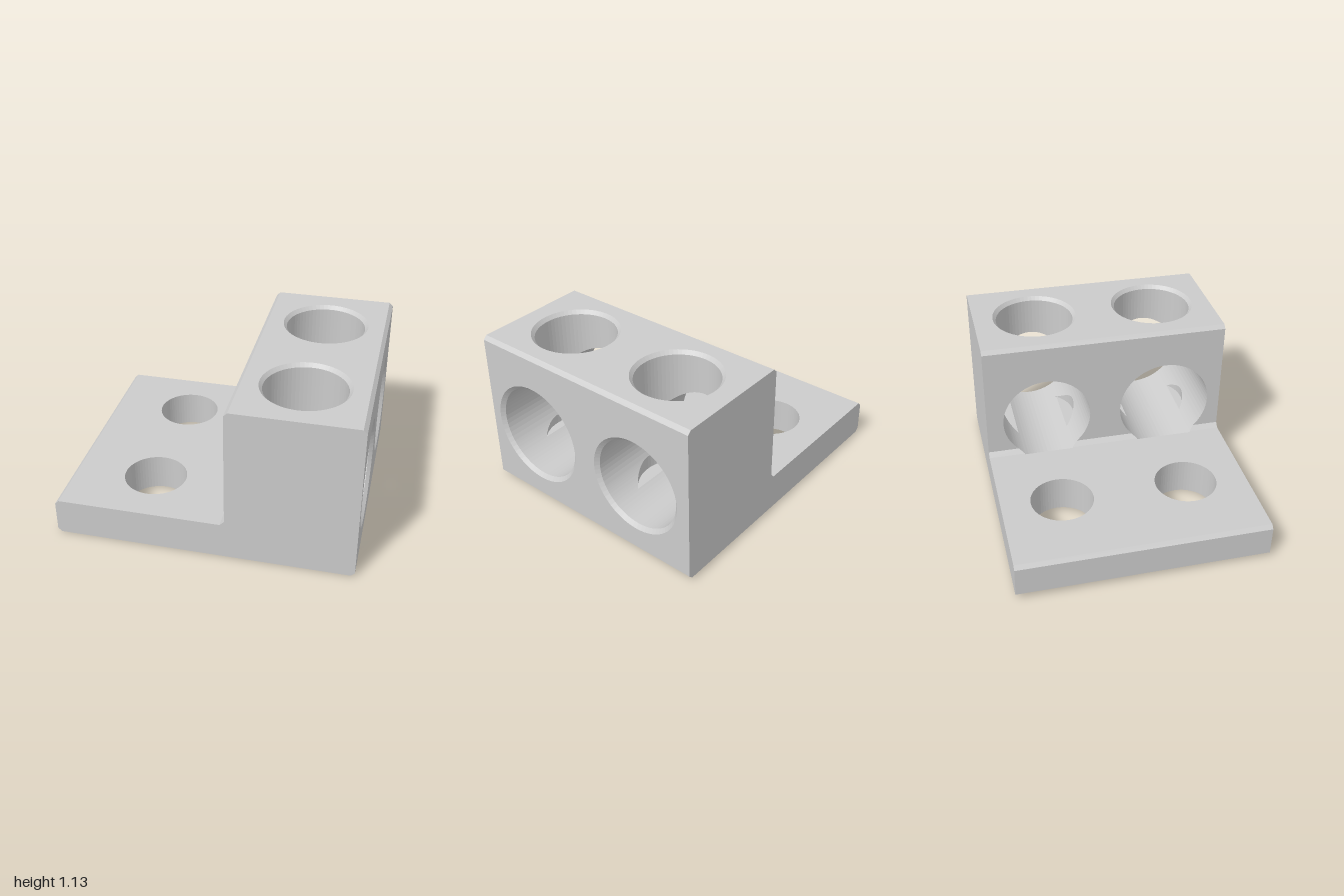
import * as THREE from 'three';

const HALF = 0.85, HIGH = 1.107, PLATE = 0.255, FILLET = 0.285, FLOOR = 0.26; // main levels
const WALL = 0.15, STOP = 0.11, BEVEL = 0.025, N = 64;
const VX = 0.575, VR = 0.27, HY = 0.512; // vertical bore x and radius, cross bore height
const BORES = [{ z: -0.423, r: 0.31 }, { z: 0.433, r: 0.327 }];
const BOLTS = [-0.436, 0.429], BOLT_X = -0.43, BOLT_R = 0.213;

const V = (x, y, z) => new THREE.Vector3(x, y, z);
const material = new THREE.MeshStandardMaterial({ color: 0xcccccc });

// Flat-shaded mesh from triangles, each turned to face the direction given by out(centroid)
function surface(name, tris, out) {
  const pos = [];
  for (const [a, b, c] of tris) {
    const n = b.clone().sub(a).cross(c.clone().sub(a));
    if (n.length() < 1e-9) continue;
    const mid = a.clone().add(b).add(c).divideScalar(3);
    const order = n.dot(out(mid)) < 0 ? [a, c, b] : [a, b, c];
    order.forEach(p => pos.push(p.x, p.y, p.z));
  }
  const g = new THREE.BufferGeometry();
  g.setAttribute('position', new THREE.Float32BufferAttribute(pos, 3));
  g.computeVertexNormals();
  const mesh = new THREE.Mesh(g, material);
  mesh.name = name;
  return mesh;
}

// Planar panel: 2D outline with holes, placed by map(a, b)
function panel(name, outline, holes, map, normal) {
  const to2 = l => l.map(p => new THREE.Vector2(p[0], p[1]));
  const faces = THREE.ShapeUtils.triangulateShape(to2(outline), holes.map(to2));
  const pts = [outline, ...holes].flat().map(p => map(p[0], p[1]));
  return surface(name, faces.map(f => f.map(i => pts[i])), () => normal);
}

const quad = (a, b, c, d) => [[a, b, c], [a, c, d]];

function arc(ca, cb, r, a0, a1, n) {
  return Array.from({ length: n + 1 }, (_, i) => {
    const t = a0 + (a1 - a0) * i / n;
    return [ca + r * Math.cos(t), cb + r * Math.sin(t)];
  });
}
const circle = (ca, cb, r) => arc(ca, cb, r, 0, 2 * Math.PI, N).slice(0, N);
const rect = (b0, b1) => [[-HALF, b0], [HALF, b0], [HALF, b1], [-HALF, b1]];

// Half width of a cross bore at height y, and the angle where it reaches y
const halfAt = (r, y) => Math.sqrt(Math.max(0, r * r - (y - HY) ** 2));
const angleAt = (r, y) => Math.asin((y - HY) / r);

// Tube or cone between two rings; ring(i) gives the end points of line i
function ringWall(name, ends, out) {
  const tris = [];
  for (let i = 0; i < N; i++) {
    const [a, b] = ends(2 * Math.PI * i / N), [d, c] = ends(2 * Math.PI * (i + 1) / N);
    tris.push(...quad(a, b, c, d));
  }
  return surface(name, tris, out);
}

// Cross bore wall, opened where the vertical bore passes through it
function crossBore({ z, r }) {
  const angles = [];
  for (let i = 0; i < N; i++) {
    angles.push(2 * Math.PI * i / N);
    const t = Math.acos(VR * Math.sin(2 * Math.PI * i / N) / r);
    angles.push(t, 2 * Math.PI - t);
  }
  for (const y of [PLATE, FLOOR, FILLET]) {
    const t = angleAt(r, y);
    angles.push(Math.PI - t, 2 * Math.PI + t);
  }
  angles.push(2 * Math.PI);
  angles.sort((a, b) => a - b);
  const tris = [];
  for (let i = 0; i + 1 < angles.length; i++) {
    const [s, e] = [angles[i], angles[i + 1]];
    if (e - s < 1e-6) continue;
    const my = HY + r * Math.sin((s + e) / 2), mz = r * Math.cos((s + e) / 2);
    const open = my > FLOOR && Math.abs(mz) < VR;
    const [p, q] = [s, e].map(t => {
      const y = HY + r * Math.sin(t), dz = r * Math.cos(t);
      const left = my < PLATE ? STOP : my < FILLET ? WALL + y - FILLET : WALL;
      const w = open ? Math.sqrt(Math.max(0, VR * VR - dz * dz)) : 0;
      return [left, VX - w, VX + w, 1 - BEVEL].map(x => V(x, y, z + dz));
    });
    tris.push(...quad(p[0], p[1], q[1], q[0]), ...quad(p[2], p[3], q[3], q[2]));
  }
  return surface('crossBore', tris, m => V(0, HY - m.y, z - m.z));
}

// Vertical bore wall above and below the cross bore
function verticalBore({ z, r }) {
  const g = new THREE.Group();
  g.name = 'verticalBore';
  const inward = m => V(VX - m.x, 0, z - m.z);
  for (const upper of [true, false]) {
    g.add(ringWall(upper ? 'upperWall' : 'lowerWall', t => {
      const x = VX + VR * Math.cos(t), dz = VR * Math.sin(t), s = Math.sqrt(r * r - dz * dz);
      return upper ? [V(x, HY + s, z + dz), V(x, HIGH - BEVEL, z + dz)]
        : [V(x, FLOOR, z + dz), V(x, Math.max(FLOOR, HY - s), z + dz)];
    }, inward));
  }
  // two floor segments beside the cross bore
  const t0 = Math.asin(halfAt(r, FLOOR) / VR);
  for (const side of [0, Math.PI]) {
    g.add(panel('boreFloor', arc(VX, z, VR, side + t0, side + Math.PI - t0, 20), [],
      (x, zz) => V(x, FLOOR, zz), V(0, 1, 0)));
  }
  // countersink at the top
  g.add(ringWall('topCountersink', t => [[VR, HIGH - BEVEL], [VR + 0.022, HIGH]].map(
    ([rad, y]) => V(VX + rad * Math.cos(t), y, z + rad * Math.sin(t))), inward));
  return g;
}

export function createModel() {
  const body = new THREE.Group();
  body.name = 'bracketBody';
  const B = BEVEL;
  const profile = [[-1 + B, 0], [1 - B, 0], [1, B], [1, HIGH - B], [1 - B, HIGH], [WALL + B, HIGH],
    [WALL, HIGH - B], [WALL, FILLET], [WALL - 0.03, PLATE], [-1 + B, PLATE], [-1, PLATE - B], [-1, B]];

  // L-shaped ends
  for (const s of [-1, 1]) {
    body.add(panel(s > 0 ? 'frontEnd' : 'backEnd', profile, [], (x, y) => V(x, y, s * HALF), V(0, 0, s)));
  }
  // plain edges: chamfers and the left side
  for (const i of [1, 3, 5, 9, 10, 11]) {
    const p = profile[i], q = profile[(i + 1) % profile.length];
    body.add(panel(i === 10 ? 'leftSide' : 'chamfer', rect(0, 1), [],
      (z, t) => V(p[0] + (q[0] - p[0]) * t, p[1] + (q[1] - p[1]) * t, z), V(q[1] - p[1], p[0] - q[0], 0)));
  }
  // drilled faces
  const boltHoles = BOLTS.map(z => circle(z, BOLT_X, BOLT_R));
  body.add(panel('underside', rect(-1 + B, 1 - B), boltHoles, (z, x) => V(x, 0, z), V(0, -1, 0)));
  body.add(panel('rightSide', rect(B, HIGH - B), BORES.map(b => circle(b.z, HY, b.r + 0.026)),
    (z, y) => V(1, y, z), V(1, 0, 0)));
  body.add(panel('blockTop', rect(WALL + B, 1 - B), BORES.map(b => circle(b.z, VX, VR + 0.022)),
    (z, x) => V(x, HIGH, z), V(0, 1, 0)));

  // plate top with notches, and inner wall with bore mouths
  const lip = WALL - 0.03;
  const notches = BORES.flatMap(({ z, r }) => {
    const h = halfAt(r, PLATE);
    return [[z - h, lip], [z - h, STOP], [z + h, STOP], [z + h, lip]];
  });
  body.add(panel('plateTop', [[-HALF, -1 + B], [-HALF, lip], ...notches, [HALF, lip], [HALF, -1 + B]],
    boltHoles, (z, x) => V(x, PLATE, z), V(0, 1, 0)));
  const mouths = BORES.flatMap(({ z, r }) => {
    const t = angleAt(r, FILLET);
    return arc(z, HY, r, Math.PI - t, t, N);
  });
  body.add(panel('innerWall', [[-HALF, HIGH - B], [-HALF, FILLET], ...mouths, [HALF, FILLET], [HALF, HIGH - B]],
    [], (z, y) => V(WALL, y, z), V(-1, 0, 0)));

  // sloped inner corner between the bores
  const edges = y => [-HALF, ...BORES.flatMap(b => [b.z - halfAt(b.r, y), b.z + halfAt(b.r, y)]), HALF];
  const low = edges(PLATE), high = edges(FILLET);
  for (let i = 0; i < low.length; i += 2) {
    body.add(panel('innerCorner', [[low[i], PLATE], [low[i + 1], PLATE], [high[i + 1], FILLET], [high[i], FILLET]],
      [], (z, y) => V(WALL + y - FILLET, y, z), V(-1, 1, 0)));
  }

  // bores through the block
  for (const b of BORES) {
    body.add(crossBore(b), verticalBore(b));
    const t = angleAt(b.r, PLATE);
    body.add(panel('boreStop', arc(b.z, HY, b.r, Math.PI - t, 2 * Math.PI + t, 24), [],
      (z, y) => V(STOP, y, z), V(1, 0, 0)));
    body.add(ringWall('sideCountersink', a => [[b.r, 1 - B], [b.r + 0.026, 1]].map(
      ([rad, x]) => V(x, HY + rad * Math.sin(a), b.z + rad * Math.cos(a))), m => V(0, HY - m.y, b.z - m.z)));
  }
  // bolt holes through the plate
  for (const z of BOLTS) {
    body.add(ringWall('boltHole', t => [0, PLATE].map(
      y => V(BOLT_X + BOLT_R * Math.cos(t), y, z + BOLT_R * Math.sin(t))), m => V(BOLT_X - m.x, 0, z - m.z)));
  }

  // the whole part leans slightly forward
  body.rotation.x = 0.0145;
  body.position.set(0, 0.0123, -0.008);
  const model = new THREE.Group();
  model.name = 'bracket';
  model.add(body);
  return model;
}
